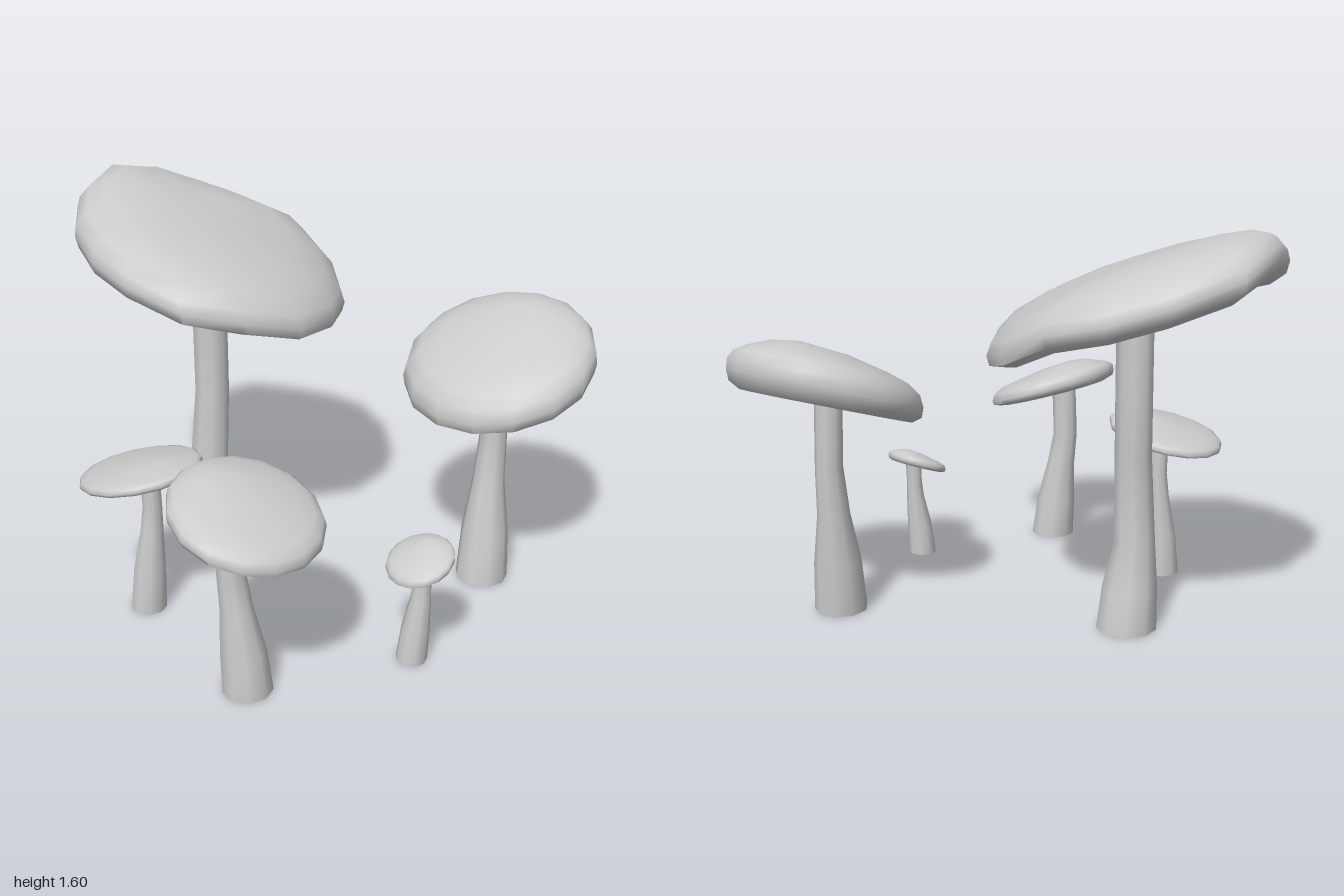
import * as THREE from 'three';
import { mergeVertices, toCreasedNormals } from 'three/addons/utils/BufferGeometryUtils.js';

const { lerp } = THREE.MathUtils;
const material = new THREE.MeshStandardMaterial({ color: 0xcccccc, side: THREE.DoubleSide });

// Skin a stack of equal-length closed rings of Vector3, skipping collapsed triangles
function loft(rings, crease) {
  const positions = [];
  const tri = (a, b, c) => {
    if (a.distanceTo(b) < 1e-6 || b.distanceTo(c) < 1e-6 || c.distanceTo(a) < 1e-6) return;
    for (const p of [a, b, c]) positions.push(p.x, p.y, p.z);
  };
  for (let i = 0; i < rings.length - 1; i++) {
    const low = rings[i], high = rings[i + 1], n = low.length;
    for (let j = 0; j < n; j++) {
      const k = (j + 1) % n;
      tri(low[j], high[j], low[k]);
      tri(low[k], high[j], high[k]);
    }
  }
  const geometry = new THREE.BufferGeometry();
  geometry.setAttribute('position', new THREE.Float32BufferAttribute(positions, 3));
  return toCreasedNormals(mergeVertices(geometry), crease);
}

// Outline points [dx, dz, lift] of a level ellipse
function ellipse(rx, rz, sides = 15, phase = 0) {
  return Array.from({ length: sides }, (_, j) => {
    const a = phase + (j / sides) * Math.PI * 2;
    return [Math.cos(a) * rx, Math.sin(a) * rz, 0];
  });
}

// Cap: hollow underside, curled lip and a crown whose apex is shifted uphill.
// slope is [dy/dx, dy/dz]; full runs from 0 (conical crown) to 1 (flat-topped)
function capGeometry({ center, outline, slope, height, drop, apex, full }) {
  const underside = [
    [0, 0.2 * height], [0.45, 0.18 * height], [0.74, 0.05 * height],
    [0.88, -drop], [0.98, -0.55 * drop], [1, 0.05 * height],
  ];
  const crown = [
    [0.975, 0.32], [0.88, 0.42 + 0.25 * full], [0.7, 0.53 + 0.38 * full], [0.38, 0.82 + 0.2 * full], [0, 1],
  ].map(([f, h]) => [f, h * height, 1 - f]);
  const rings = [...underside, ...crown].map(([f, h, shift = 0]) => outline.map(([ox, oz, lift]) => {
    const dx = ox * f + apex[0] * shift;
    const dz = oz * f + apex[1] * shift;
    const y = center[1] + h + dx * slope[0] + dz * slope[1] + lift * f * f;
    return new THREE.Vector3(center[0] + dx, y, center[2] + dz);
  }));
  return loft(rings, 1.0);
}

// Stem: flared foot narrowing to a waist, then a bent neck; open at the foot.
// path holds the [x, z] centres of foot, waist, bend and top
function stemGeometry({ height, waist, foot, neck, path }) {
  const [a, b, c, d] = path;
  const flare = [lerp(a[0], b[0], 0.4), lerp(a[1], b[1], 0.4)];
  const sections = [
    [0, foot, a], [waist * 0.5, lerp(neck, foot, 0.78), flare], [waist, lerp(neck, foot, 0.2), b],
    [lerp(waist, 1, 0.35), neck, c], [1, neck, d],
  ];
  const rings = sections.map(([t, r, [x, z]]) =>
    ellipse(r, r, 9).map(([dx, dz]) => new THREE.Vector3(x + dx, t * height, z + dz)));
  return loft(rings, 1.2);
}

// Wavy rim of the largest cap: radius and lift of each spoke
const rimRadius = [0.566, 0.57, 0.578, 0.558, 0.53, 0.538, 0.563, 0.58, 0.61, 0.545, 0.54, 0.553, 0.555, 0.547, 0.553];
const rimLift = [0.01, 0.03, 0.01, 0, -0.035, -0.05, -0.035, 0.01, -0.03, -0.04, -0.03, 0, -0.03, -0.035, 0];
const wavyRim = ellipse(1, 1, 15, 0.14).map(([x, z], j) => [x * rimRadius[j], z * rimRadius[j], rimLift[j]]);

const caps = {
  tallMushroom: {
    center: [-0.42, 1.3, -0.04], outline: wavyRim, slope: [-0.335, 0.085],
    height: 0.155, drop: 0.065, apex: [-0.16, 0.04], full: 0.9,
  },
  backMushroom: {
    center: [0.613, 0.925, -0.615], outline: ellipse(0.387, 0.357), slope: [0, -0.35],
    height: 0.175, drop: 0.06, apex: [0, -0.12], full: 0.45,
  },
  frontMushroom: {
    center: [0.457, 0.705, 0.68], outline: ellipse(0.272, 0.292), slope: [-0.31, 0],
    height: 0.105, drop: 0.025, apex: [-0.1, 0], full: 0.3,
  },
  slenderMushroom: {
    center: [-0.21, 0.615, 0.57], outline: ellipse(0.242, 0.238), slope: [0.21, -0.04],
    height: 0.06, drop: 0.015, apex: [0.06, 0], full: 0.2,
  },
  smallMushroom: {
    center: [0.8, 0.418, 0.118], outline: ellipse(0.131, 0.12), slope: [0.06, -0.37],
    height: 0.055, drop: 0.014, apex: [0, -0.045], full: 0.2,
  },
};

const stems = {
  tallMushroom: {
    height: 1.38, waist: 0.25, foot: 0.12, neck: 0.072,
    path: [[-0.41, -0.04], [-0.417, 0], [-0.433, -0.045], [-0.417, -0.02]],
  },
  backMushroom: {
    height: 0.99, waist: 0.42, foot: 0.108, neck: 0.056,
    path: [[0.635, -0.555], [0.61, -0.602], [0.607, -0.62], [0.607, -0.605]],
  },
  frontMushroom: {
    height: 0.75, waist: 0.46, foot: 0.096, neck: 0.054,
    path: [[0.462, 0.69], [0.43, 0.71], [0.41, 0.715], [0.42, 0.715]],
  },
  slenderMushroom: {
    height: 0.64, waist: 0.55, foot: 0.072, neck: 0.039,
    path: [[-0.217, 0.552], [-0.205, 0.53], [-0.203, 0.525], [-0.203, 0.535]],
  },
  smallMushroom: {
    height: 0.445, waist: 0.58, foot: 0.06, neck: 0.034,
    path: [[0.79, 0.133], [0.803, 0.108], [0.804, 0.104], [0.805, 0.1]],
  },
};

export function createModel() {
  const group = new THREE.Group();
  group.name = 'mushroomCluster';
  for (const name of Object.keys(caps)) {
    const mushroom = new THREE.Group();
    mushroom.name = name;
    const cap = new THREE.Mesh(capGeometry(caps[name]), material);
    cap.name = 'cap';
    const stem = new THREE.Mesh(stemGeometry(stems[name]), material);
    stem.name = 'stem';
    mushroom.add(cap, stem);
    group.add(mushroom);
  }
  return group;
}
